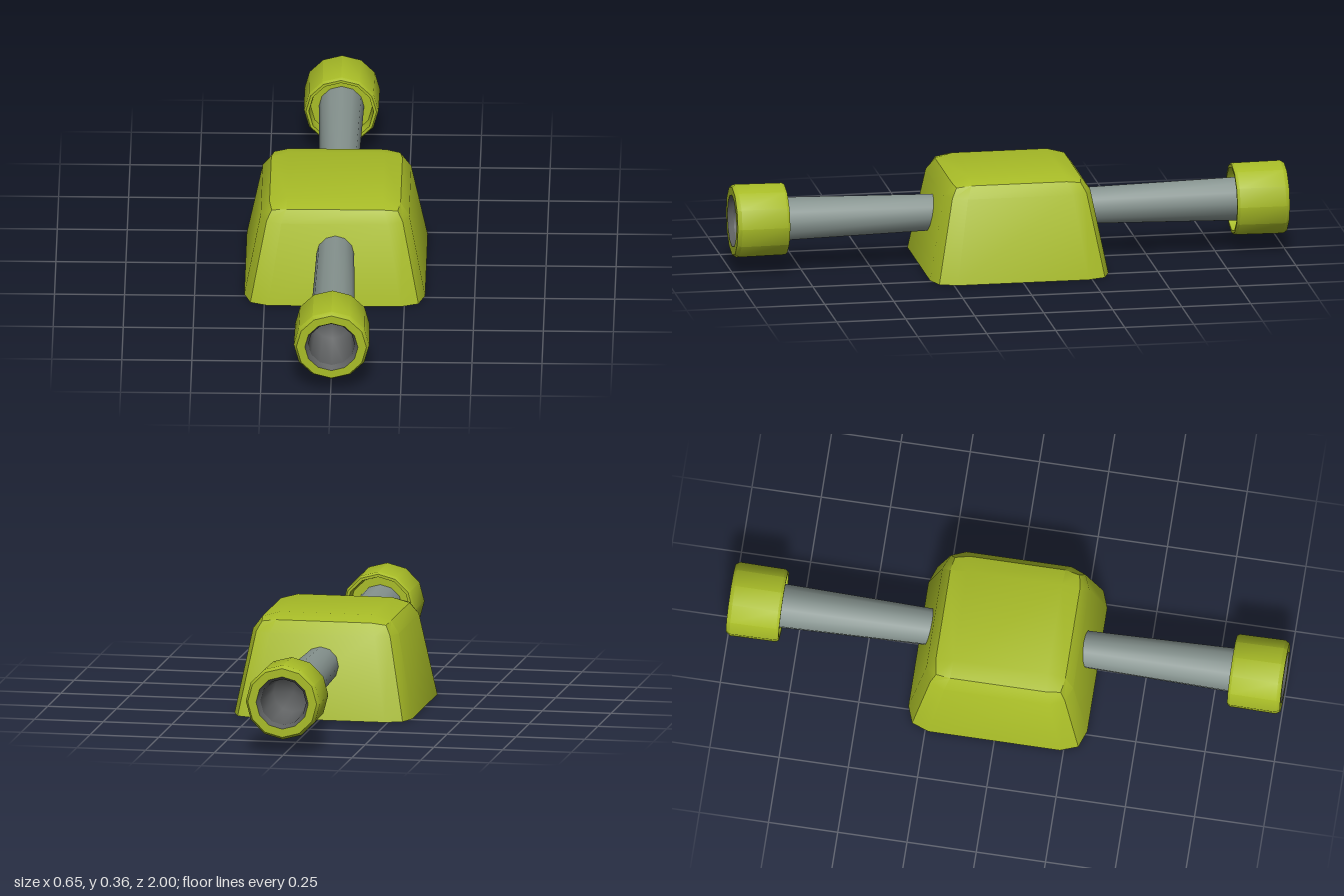
import * as THREE from 'three';
import { toCreasedNormals } from 'three/addons/utils/BufferGeometryUtils.js';

const green = new THREE.MeshStandardMaterial({ name: 'green paint', color: 0xa8bc27, side: THREE.DoubleSide });
const steel = new THREE.MeshStandardMaterial({ name: 'barrel steel', color: 0x86938f, side: THREE.DoubleSide });
const dark = new THREE.MeshStandardMaterial({ name: 'dark bore', color: 0x5c5e5f, side: THREE.DoubleSide });

// Twelve-sided turned part whose axis runs along z; points are [radius, z]
function turned(name, points, material, crease) {
  const profile = points.map(([r, z]) => new THREE.Vector2(r, z));
  const geometry = new THREE.LatheGeometry(profile, 12).rotateX(Math.PI / 2);
  const mesh = new THREE.Mesh(toCreasedNormals(geometry, crease), material);
  mesh.name = name;
  return mesh;
}

// Tapered shell with rounded corners, open underneath
function bodyGeometry() {
  // [y, half width, half length of the straight side, corner, corner y]
  const rows = [
    [0, 0.323, 0.237, 0.3, 0],
    [0.3, 0.265, 0.19, 0.243, 0.3],
    [0.342, 0.234, 0.173, 0.225, 0.334],
    [0.36, 0.17, 0.17, 0.17, 0.36],
  ];
  const rings = rows.map(([y, half, flat, corner, cornerY]) => {
    const ring = [];
    let quarter = [[flat, y, half], [corner, cornerY, corner], [half, y, flat]];
    for (let k = 0; k < 4; k++) {
      ring.push(...quarter);
      quarter = quarter.map(([x, h, z]) => [z, h, -x]);
    }
    return ring;
  });
  const positions = [];
  const triangle = (a, b, c) => {
    const same = (p, q) => p.every((v, i) => Math.abs(v - q[i]) < 1e-6);
    if (!same(a, b) && !same(b, c) && !same(a, c)) positions.push(...a, ...b, ...c);
  };
  for (let r = 0; r < rings.length - 1; r++) {
    for (let i = 0; i < 12; i++) {
      const j = (i + 1) % 12;
      triangle(rings[r][i], rings[r][j], rings[r + 1][j]);
      triangle(rings[r][i], rings[r + 1][j], rings[r + 1][i]);
    }
  }
  const top = rings[rings.length - 1];
  triangle(top[1], top[4], top[7]);
  triangle(top[1], top[7], top[10]);
  const geometry = new THREE.BufferGeometry();
  geometry.setAttribute('position', new THREE.Float32BufferAttribute(positions, 3));
  return toCreasedNormals(geometry, 0.58);
}

// Barrel, muzzle collar and bore pointing along +z
function barrelAssembly(name) {
  const group = new THREE.Group();
  group.name = name;
  group.add(
    turned('barrel', [[0.065, 0.19], [0.081, 0.86]], steel, 0.8),
    turned('muzzleCollar', [
      [0.078, 0.85], [0.11, 0.85], [0.116, 0.81], [0.126, 0.81], [0.133, 0.82],
      [0.135, 0.985], [0.125, 1], [0.095, 1],
    ], green, 0.6),
    turned('muzzleRim', [[0.095, 1], [0.083, 0.98]], dark, 0.6),
    turned('bore', [[0.083, 0.98], [0.07, 0.8], [0, 0.79]], dark, 1.6),
  );
  return group;
}

export function createModel() {
  const model = new THREE.Group();
  model.name = 'doubleBarrelHousing';

  const body = new THREE.Mesh(bodyGeometry(), green);
  body.name = 'body';
  model.add(body);

  // One barrel to the front and one to the back
  ['frontBarrel', 'rearBarrel'].forEach((name, i) => {
    const barrel = barrelAssembly(name);
    barrel.position.set(0.003, 0.19, 0);
    barrel.rotation.y = i * Math.PI;
    model.add(barrel);
  });
  return model;
}
